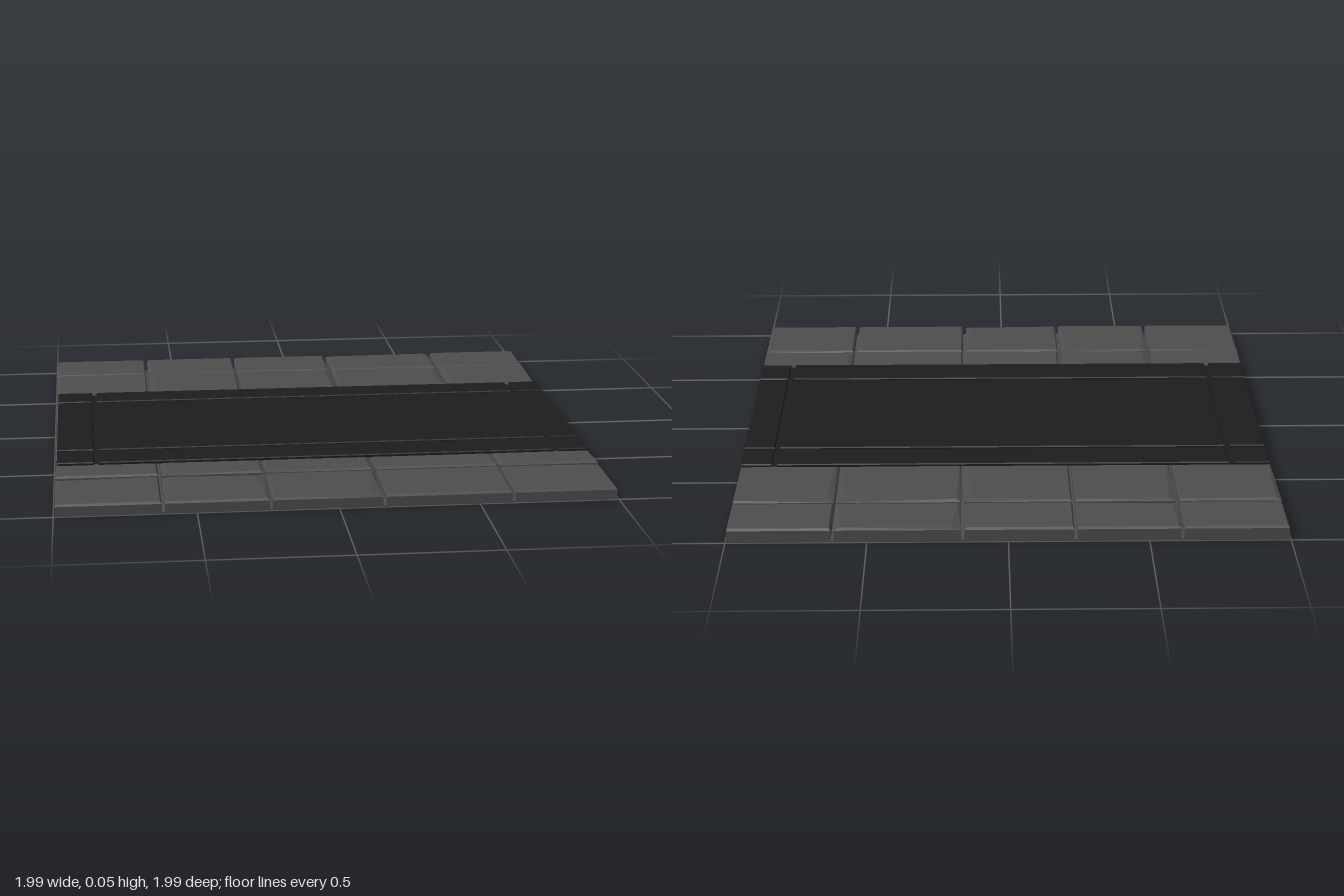
import * as THREE from 'three';
import { ConvexGeometry } from 'three/addons/geometries/ConvexGeometry.js';

const stone = new THREE.MeshStandardMaterial({ color: 0x4d4d4d, flatShading: true });
const dark = new THREE.MeshStandardMaterial({ color: 0x1d1d1d, flatShading: true });

// Chamfered block. heights: top at back and front edge; chips: extra inset [dx, dz]
// of the top corners, in the order back left, back right, front right, front left.
function block(name, material, [x0, x1], [z0, z1], y0, heights, bevel, chips = []) {
  const points = [];
  const corners = [[0, 0], [1, 0], [1, 1], [0, 1]];
  corners.forEach(([i, j], k) => {
    const x = i ? x1 : x0, z = j ? z1 : z0, top = heights[j];
    const sx = i ? -1 : 1, sz = j ? -1 : 1;
    const [dx, dz] = chips[k] || [0, 0];
    points.push(new THREE.Vector3(x, y0, z));
    points.push(new THREE.Vector3(x, top - bevel * 1.3, z));
    points.push(new THREE.Vector3(x + sx * (bevel + dx), top, z + sz * (bevel + dz)));
  });
  const mesh = new THREE.Mesh(new ConvexGeometry(points), material);
  mesh.name = name;
  return mesh;
}

export function createModel() {
  const model = new THREE.Group();
  model.name = 'pavedFloor';

  // Thin base closing the underside and the joints
  const base = new THREE.Mesh(new THREE.BoxGeometry(1.99, 0.006, 1.99), stone);
  base.name = 'base';
  base.position.y = 0.003;
  model.add(base);

  // Paving stones: five columns by six rows with slightly sloping tops
  const columns = [[-0.995, -0.623], [-0.612, -0.245], [-0.234, 0.155], [0.168, 0.617], [0.628, 0.995]];
  const rows = [
    { z: [-0.995, -0.777], h: [0.052, 0.047] },
    { z: [-0.765, -0.365], h: [0.05, 0.038] },
    { z: [-0.355, -0.065], h: [0.038, 0.038] },
    { z: [-0.055, 0.405], h: [0.038, 0.038] },
    { z: [0.415, 0.687], h: [0.038, 0.05] },
    { z: [0.703, 0.995], h: [0.046, 0.043] },
  ];
  // Worn corners, keyed by row and column
  const O = [0, 0];
  const chips = {
    '0,1': [O, O, [0, 0.004], [0.015, 0.018]],
    '0,3': [[0.03, 0.015], [0.015, 0.006], O, [0.005, 0]],
    '1,0': [[0.012, 0.005], O, O, O],
    '1,1': [[0.02, 0.012], [0, 0.004], O, O],
    '1,2': [O, [0.015, 0.012], [0.005, 0], O],
    '1,3': [[0.01, 0.005], [0.02, 0.035], [0.1, 0], O],
    '1,4': [[0.02, 0.025], O, O, [0.005, 0]],
    '4,1': [O, O, [0, 0.003], [0.02, 0.016]],
    '4,2': [O, O, O, [0.005, 0.01]],
    '4,4': [O, O, [0, 0.003], [0.015, 0.018]],
    '5,0': [[0.005, 0.015], O, O, O],
    '5,1': [[0.02, 0.006], [0.025, 0.02], O, O],
    '5,2': [O, O, [0.03, 0.025], [0.005, 0.005]],
    '5,4': [O, [0.005, 0.01], O, O],
  };
  const paving = new THREE.Group();
  paving.name = 'pavingStones';
  rows.forEach(({ z, h }, r) => columns.forEach((x, c) => {
    paving.add(block('pavingStone', stone, x, z, 0, h, 0.006, chips[`${r},${c}`]));
  }));
  model.add(paving);

  // Dark panel: centre field and border strips parted by narrow grooves
  const panel = new THREE.Group();
  panel.name = 'darkPanel';
  const xs = [[-0.99, -0.854], [-0.836, 0.86], [0.878, 0.995]];
  const zs = [[-0.455, -0.32], [-0.302, 0.362], [0.38, 0.53]];
  zs.forEach((z, j) => xs.forEach((x, i) => {
    const name = i === 1 && j === 1 ? 'panelField' : 'panelBorder';
    panel.add(block(name, dark, x, z, 0.043, [0.054, 0.054], 0.003));
  }));
  // Backing seen at the bottom of the grooves
  panel.add(block('panelBacking', dark, [-0.985, 0.99], [-0.45, 0.525], 0.04, [0.045, 0.045], 0.001));
  model.add(panel);

  return model;
}
